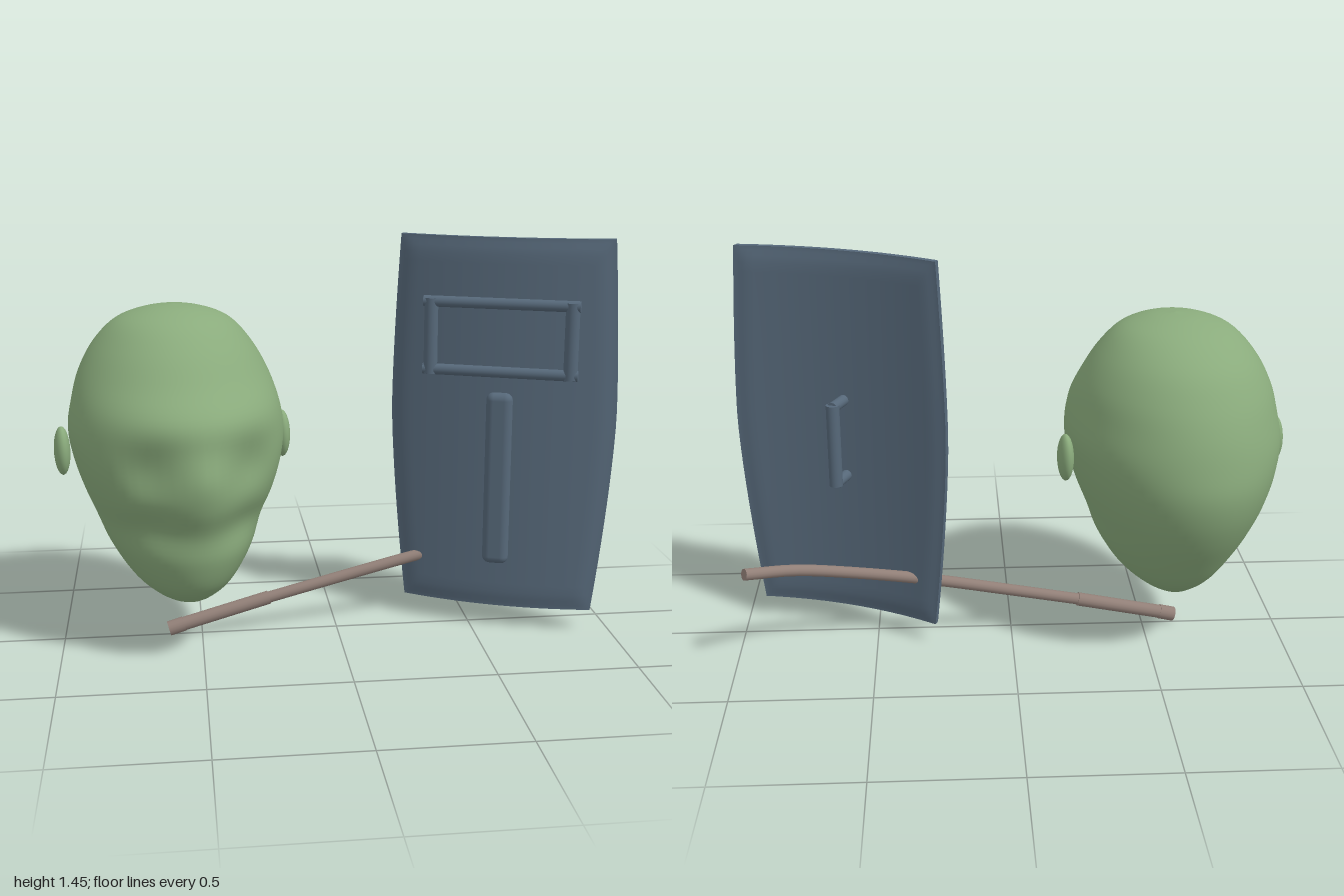
import * as THREE from 'three';
import { RoundedBoxGeometry } from 'three/addons/geometries/RoundedBoxGeometry.js';

const V = (x, y, z) => new THREE.Vector3(x, y, z);

function material(name, color) {
  const m = new THREE.MeshStandardMaterial({ color });
  m.name = name;
  return m;
}

function add(parent, name, geometry, mat, x = 0, y = 0, z = 0) {
  const mesh = new THREE.Mesh(geometry, mat);
  mesh.name = name;
  mesh.position.set(x, y, z);
  parent.add(mesh);
  return mesh;
}

// Head: stacked oval rings, with soft sockets and cheeks pressed into the front
function headGeometry() {
  // height, half width, front z, back z
  const rows = [
    [1.232, 0, -0.01, -0.01], [1.22, 0.1, 0.09, -0.11], [1.18, 0.2, 0.19, -0.225],
    [1.1, 0.275, 0.28, -0.335], [1.0, 0.33, 0.36, -0.405], [0.9, 0.36, 0.445, -0.45],
    [0.8, 0.375, 0.465, -0.475], [0.7, 0.36, 0.485, -0.485], [0.6, 0.33, 0.46, -0.465],
    [0.5, 0.29, 0.41, -0.42], [0.4, 0.25, 0.39, -0.355], [0.3, 0.19, 0.345, -0.28],
    [0.24, 0.135, 0.28, -0.21], [0.2, 0.075, 0.19, -0.13], [0.18, 0, 0.03, 0.03],
  ];
  const outline = new THREE.CatmullRomCurve3(rows.map(r => V(r[1], r[0], 0)), false, 'catmullrom');
  const depth = new THREE.CatmullRomCurve3(rows.map(r => V(r[2], r[3], 0)), false, 'catmullrom');
  const bump = (x, y, cx, cy, sx, sy) => Math.exp(-(((x - cx) / sx) ** 2) - ((y - cy) / sy) ** 2);
  const R = 70, N = 64, pos = [], idx = [];
  for (let r = 0; r <= R; r++) {
    const o = outline.getPoint(r / R), d = depth.getPoint(r / R);
    const mid = (d.x + d.y) / 2, half = (d.x - d.y) / 2;
    for (let i = 0; i < N; i++) {
      const a = (i / N) * Math.PI * 2;
      const x = o.x * Math.sin(a);
      let z = mid + half * Math.cos(a);
      if (z > 0) {
        const ax = Math.abs(x), fade = Math.min(1, z / 0.15);
        z -= fade * (0.06 * bump(ax, o.y, 0.17, 0.72, 0.1, 0.1) + 0.035 * bump(ax, o.y, 0.16, 0.54, 0.09, 0.08));
      }
      pos.push(x, o.y, z);
      if (r < R) {
        const A = r * N + i, B = r * N + (i + 1) % N;
        idx.push(A, A + N, B, B, A + N, B + N);
      }
    }
  }
  const g = new THREE.BufferGeometry();
  g.setAttribute('position', new THREE.Float32BufferAttribute(pos, 3));
  g.setIndex(idx);
  g.computeVertexNormals();
  return g;
}

// Shield plate: a fine box, narrowed at both ends, thinned at the rim and bowed forward
function plateGeometry() {
  const g = new THREE.BoxGeometry(2, 2, 2, 30, 30, 1);
  const p = g.attributes.position;
  const bottom = 0.085, top = 1.452, waist = 0.82;
  for (let i = 0; i < p.count; i++) {
    const u = Math.sin(p.getX(i) * Math.PI / 2), v = Math.sin(p.getY(i) * Math.PI / 2);
    const y = bottom + (top - bottom) * (v + 1) / 2;
    const w = y < waist
      ? 0.41 - 0.06 * ((waist - y) / (waist - bottom)) ** 1.5
      : 0.41 - 0.03 * ((y - waist) / (top - waist)) ** 1.5;
    const x = u * w;
    const rim = Math.min((1 - Math.abs(u)) * w, (1 - Math.abs(v)) * 0.68);
    const thick = 0.012 + 0.01 * THREE.MathUtils.smoothstep(rim, 0, 0.06);
    p.setXYZ(i, x, y, 0.055 - x * x / 3 + p.getZ(i) * thick);
  }
  g.computeVertexNormals();
  return g;
}

// Rod along a smooth path with closed ends
function rod(parent, name, points, radius, mat) {
  const curve = new THREE.CatmullRomCurve3(points);
  const group = new THREE.Group();
  group.name = name;
  add(group, name + 'Side', new THREE.TubeGeometry(curve, points.length > 2 ? 24 : 1, radius, 16), mat);
  for (const t of [0, 1]) {
    const end = curve.getPoint(t), dir = curve.getTangent(t).multiplyScalar(t ? 1 : -1);
    const cap = add(group, name + 'End', new THREE.CircleGeometry(radius, 16), mat, end.x, end.y, end.z);
    cap.quaternion.setFromUnitVectors(V(0, 0, 1), dir);
  }
  parent.add(group);
}

export function createModel() {
  const model = new THREE.Group();
  model.name = 'headShieldAndStick';
  const green = material('sage green', 0x8aab7c);
  const slate = material('slate blue', 0x566879);
  const wood = material('dusty brown', 0x917f77);

  // Head, turned slightly to its left
  const head = new THREE.Group();
  head.name = 'head';
  head.position.x = -0.575;
  head.rotation.y = 0.2;
  add(head, 'skull', headGeometry(), green);
  for (const s of [-1, 1]) {
    add(head, s > 0 ? 'leftEar' : 'rightEar', new THREE.SphereGeometry(1, 24, 16), green, s * 0.4, 0.73, -0.03)
      .scale.set(0.028, 0.087, 0.05);
  }
  model.add(head);

  // Shield, turned to its right
  const shield = new THREE.Group();
  shield.name = 'shield';
  shield.position.x = 0.61;
  shield.rotation.y = -0.385;
  add(shield, 'plate', plateGeometry(), slate);
  add(shield, 'frontRidge', new RoundedBoxGeometry(0.096, 0.645, 0.06, 4, 0.028), slate, 0, 0.578, 0.072);

  // Window frame on the front
  for (const y of [0.98, 1.225]) {
    rod(shield, 'frameRail', [V(-0.277, y, 0.102), V(0.277, y, 0.102)], 0.02, slate);
  }
  for (const x of [-0.25, 0.25]) {
    rod(shield, 'framePost', [V(x, 0.965, 0.102), V(x, 1.238, 0.102)], 0.025, slate);
  }

  // Grip on the back
  rod(shield, 'grip', [V(0, 0.615, -0.055), V(0, 0.92, -0.055)], 0.024, slate);
  for (const y of [0.622, 0.91]) {
    rod(shield, 'gripBracket', [V(0, y, 0.05), V(0, y, -0.06)], 0.02, slate);
  }
  model.add(shield);

  // Stick: pommel, handle and a bent shaft
  const stick = new THREE.Group();
  stick.name = 'stick';
  rod(stick, 'pommel', [V(-0.622, 0.03, 0.012), V(-0.566, 0.045, 0.007)], 0.027, wood);
  rod(stick, 'handle', [V(-0.57, 0.044, 0.007), V(-0.25, 0.122, -0.024)], 0.025, wood);
  rod(stick, 'shaft', [
    V(-0.26, 0.12, -0.023), V(0, 0.178, -0.047), V(0.3, 0.243, -0.075), V(0.595, 0.297, -0.112),
    V(0.78, 0.343, -0.18), V(0.945, 0.385, -0.292),
  ], 0.021, wood);
  model.add(stick);

  return model;
}
